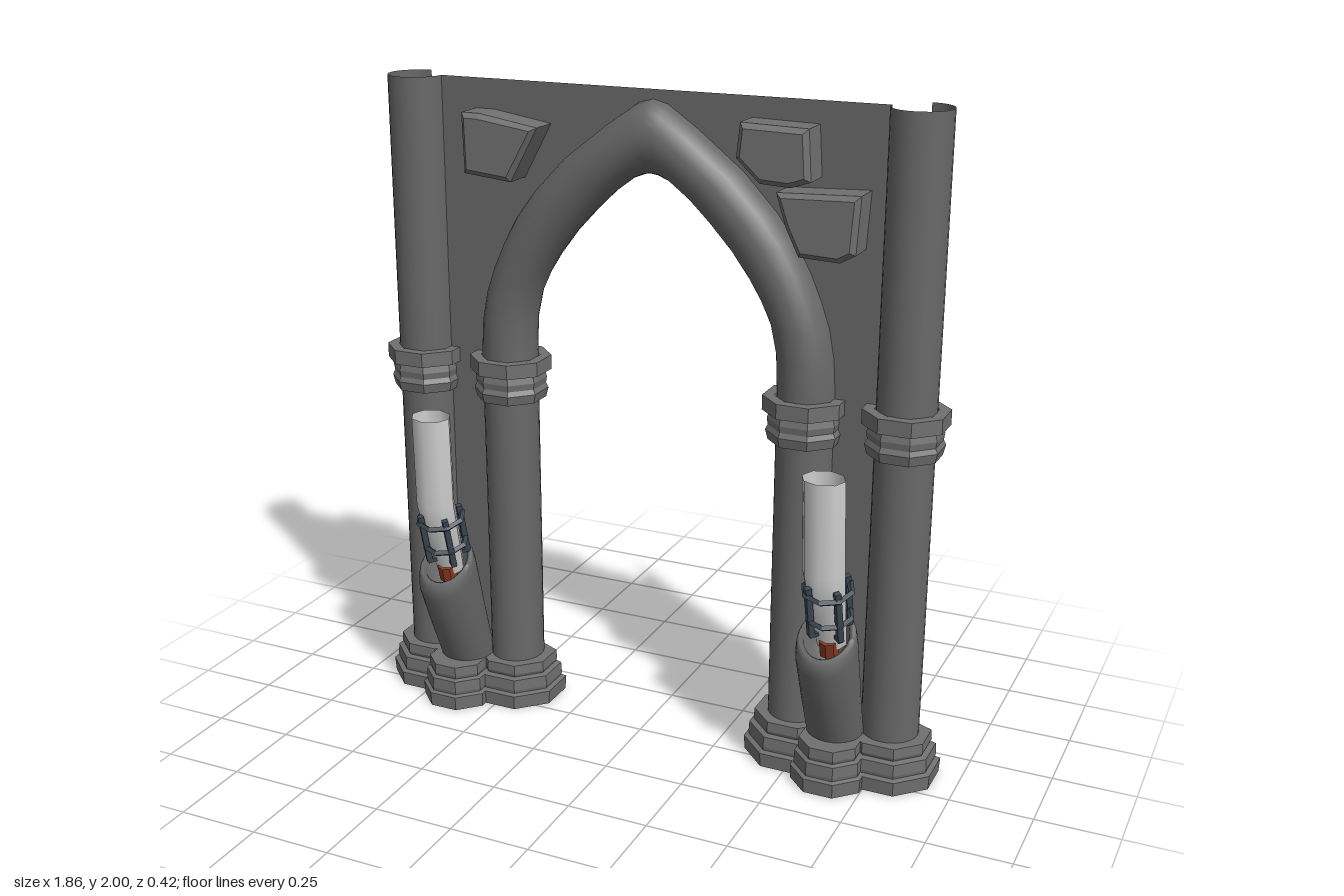
import * as THREE from 'three';

const mat = (color, flat = false) =>
  new THREE.MeshStandardMaterial({ color, flatShading: flat, side: THREE.DoubleSide });
const stone = mat(0x686868), cutStone = mat(0x707070, true);
const flameMat = mat(0xcccccc), iron = mat(0x3d4854, true), ember = mat(0x8a3a22, true);
const V = (x, y, z) => new THREE.Vector3(x, y, z);
const ZC = -0.09; // middle depth of the wall and columns

function add(parent, name, geometry, material) {
  const m = new THREE.Mesh(geometry, material);
  m.name = name;
  parent.add(m);
  return m;
}

// Skin over equal-length rows of points
function skin(rows) {
  const n = rows[0].length, idx = [];
  for (let i = 0; i < rows.length - 1; i++)
    for (let j = 0; j < n - 1; j++) {
      const a = i * n + j, b = a + n;
      idx.push(a, a + 1, b, a + 1, b + 1, b);
    }
  const g = new THREE.BufferGeometry().setFromPoints(rows.flat());
  g.setIndex(idx);
  g.computeVertexNormals();
  return g;
}

// Three-quarter arc: 0 = toward the wall, 90 = front, 180 = away, 270 = back
const roundArc = Array.from({ length: 19 }, (_, i) => {
  const a = i / 18 * Math.PI * 1.5;
  return [Math.cos(a), Math.sin(a)];
});
// Octagonal arc with flats on the axes
const octPoint = (deg) => {
  const a = deg * Math.PI / 180, k = deg % 90 === 0 ? 1 : 1 / Math.cos(Math.PI / 8);
  return [Math.cos(a) * k, Math.sin(a) * k];
};
const octArc = [0, 22.5, 67.5, 112.5, 157.5, 202.5, 247.5, 270].map(octPoint);
const octFull = [22.5, 67.5, 112.5, 157.5, 202.5, 247.5, 292.5, 337.5, 382.5].map(octPoint);

// Stack of rings [radius, y] around a vertical axis
const stack = (arc, profile, x, z, dir = 1, back = -1) => skin(profile.map(([r, y]) =>
  arc.map(([c, s]) => V(x + dir * c * r, y, Math.max(back, z + s * r)))));

const baseProfile = [[0.142, 0], [0.145, 0.045], [0.13, 0.05], [0.132, 0.06], [0.13, 0.095],
  [0.114, 0.1], [0.118, 0.11], [0.116, 0.14], [0.02, 0.14]];
const capitalProfile = [[0.085, 1.02], [0.1, 1.02], [0.107, 1.05], [0.1, 1.065], [0.103, 1.085],
  [0.098, 1.105], [0.117, 1.11], [0.117, 1.155], [0.085, 1.155]];
const middleProfile = baseProfile.map(([r, y]) => [r * 0.76, y]);

// Pointed arch: [inner x, inner y, outer x, outer y]
const archHalf = [
  [0.40, 0.1, 0.57, 0.1], [0.40, 0.65, 0.57, 0.65], [0.40, 1.17, 0.572, 1.17],
  [0.395, 1.28, 0.565, 1.27], [0.376, 1.365, 0.548, 1.36], [0.345, 1.43, 0.52, 1.44],
  [0.307, 1.49, 0.487, 1.515], [0.25, 1.565, 0.44, 1.6], [0.18, 1.64, 0.38, 1.68],
  [0.12, 1.697, 0.28, 1.785], [0.06, 1.742, 0.14, 1.895], [0.025, 1.756, 0.045, 1.96]];
const archPath = [...archHalf, [0, 1.76, 0, 1.972],
  ...archHalf.map(([a, b, c, d]) => [-a, b, -c, d]).reverse()];

function archGeometry() {
  return skin(archPath.map(([ix, iy, ox, oy]) => roundArc.map(([c, s]) =>
    V((ix + ox) / 2 + c * (ox - ix) / 2, (iy + oy) / 2 + c * (oy - iy) / 2, ZC + s * 0.088))));
}

// Thin wall cut away along the outside of the arch
function wallGeometry() {
  const pts = [[0.7, 0], [0.7, 2], [-0.7, 2], [-0.7, 0], [-0.57, 0],
    ...archPath.map(p => [p[2], p[3]]).reverse(), [0.57, 0]];
  return new THREE.ShapeGeometry(new THREE.Shape(pts.map(p => new THREE.Vector2(...p))));
}

// Loose blocks that pass through the wall
const blocks = [
  [[-0.58, 1.91], [-0.52, 1.91], [-0.33, 1.88], [-0.42, 1.715], [-0.575, 1.73]],
  [[0.30, 1.94], [0.50, 1.935], [0.51, 1.79], [0.45, 1.77], [0.36, 1.775], [0.29, 1.84]],
  [[0.41, 1.755], [0.655, 1.765], [0.645, 1.6], [0.6, 1.575], [0.48, 1.58], [0.44, 1.66]]];
function blockGeometry(pts) {
  const g = new THREE.ExtrudeGeometry(new THREE.Shape(pts.map(p => new THREE.Vector2(...p))), {
    depth: 0.18, bevelEnabled: true, bevelSegments: 1, bevelThickness: 0.015, bevelSize: 0.015, bevelOffset: -0.015 });
  return g.translate(0, 0, -0.18);
}

// Ring of points: centre, radii and forward drop of its plane
function ring(x, y, z, rx, rz, drop = 0, n = 24) {
  return Array.from({ length: n + 1 }, (_, i) => {
    const a = i / n * Math.PI * 2, s = Math.sin(a);
    return V(x + Math.cos(a) * rx, y - s * drop, z + s * rz);
  });
}

// Stone socket leaning out of the wall, with a rounded slanted mouth
const socketGeometry = () => skin([
  ring(0, 0.13, -0.025, 0.085, 0.085), ring(0, 0.30, 0.035, 0.088, 0.09, 0.03),
  ring(0, 0.46, 0.088, 0.09, 0.094, 0.06), ring(0, 0.495, 0.094, 0.086, 0.086, 0.055),
  ring(0, 0.507, 0.094, 0.078, 0.077, 0.05), ring(0, 0.50, 0.092, 0.066, 0.066, 0.045),
  ring(0, 0.44, 0.075, 0.055, 0.055, 0.03), ring(0, 0.40, 0.065, 0.005, 0.005)]);

function torch() {
  const g = new THREE.Group();
  g.name = 'torch';
  // Bent open flame sleeve
  add(g, 'flame', skin([
    ring(0.012, 0.48, 0.085, 0.046, 0.036, 0.01, 8), ring(0.006, 0.6, 0.115, 0.056, 0.046, 0.015, 8),
    ring(0, 0.72, 0.143, 0.064, 0.052, 0.005, 8), ring(-0.015, 0.995, 0.126, 0.064, 0.053, 0.003, 8)]), flameMat);
  // Iron cage along the lower, leaning part
  const cage = new THREE.Group();
  cage.name = 'cage';
  cage.position.set(0.012, 0.48, 0.085);
  cage.rotation.x = 0.26;
  g.add(cage);
  for (const [y, r] of [[0.1, 0.064], [0.195, 0.07]]) {
    const hoop = add(cage, 'cageHoop', new THREE.TorusGeometry(r, 0.01, 4, 8), iron);
    hoop.rotation.x = Math.PI / 2;
    hoop.position.y = y;
  }
  for (let i = 0; i < 4; i++) {
    const a = Math.PI / 4 + i * Math.PI / 2;
    const bar = add(cage, 'cageBar', new THREE.BoxGeometry(0.018, 0.17, 0.018), iron);
    bar.position.set(Math.cos(a) * 0.062, 0.135, Math.sin(a) * 0.062);
    bar.rotation.y = -a;
    const foot = add(cage, 'cageFoot', new THREE.BoxGeometry(0.035, 0.012, 0.016), iron);
    foot.position.set(Math.cos(a) * 0.05, 0.05, Math.sin(a) * 0.05);
    foot.rotation.y = -a;
  }
  const core = add(cage, 'ember', new THREE.CylinderGeometry(0.03, 0.03, 0.05, 8), ember);
  core.position.set(0, 0, 0.02);
  return g;
}

export function createModel() {
  const model = new THREE.Group();
  model.name = 'gothicArchway';
  add(model, 'wall', wallGeometry(), stone).position.z = ZC;
  add(model, 'arch', archGeometry(), stone);
  blocks.forEach(b => add(model, 'wallBlock', blockGeometry(b), cutStone));

  for (const s of [1, -1]) {
    // Outer column, with the quarter behind the wall left open
    add(model, 'outerColumn', stack(roundArc, [[0.087, 0.1], [0.087, 2]], s * 0.785, ZC, -s), stone);
    // Bases and capitals of the outer and inner columns
    for (const [x, dir] of [[0.785, -s], [0.485, s]]) {
      add(model, 'columnBase', stack(octArc, baseProfile, s * x, ZC, dir, -0.17), cutStone);
      add(model, 'capital', stack(octArc, capitalProfile, s * x, ZC, dir), cutStone);
    }
    // Torch stand between the columns
    add(model, 'socketBase', stack(octFull, middleProfile, s * 0.64, 0.03), cutStone);
    add(model, 'socket', socketGeometry(), stone).position.x = s * 0.635;
    const t = torch();
    t.position.x = s * 0.635;
    model.add(t);
  }
  return model;
}
